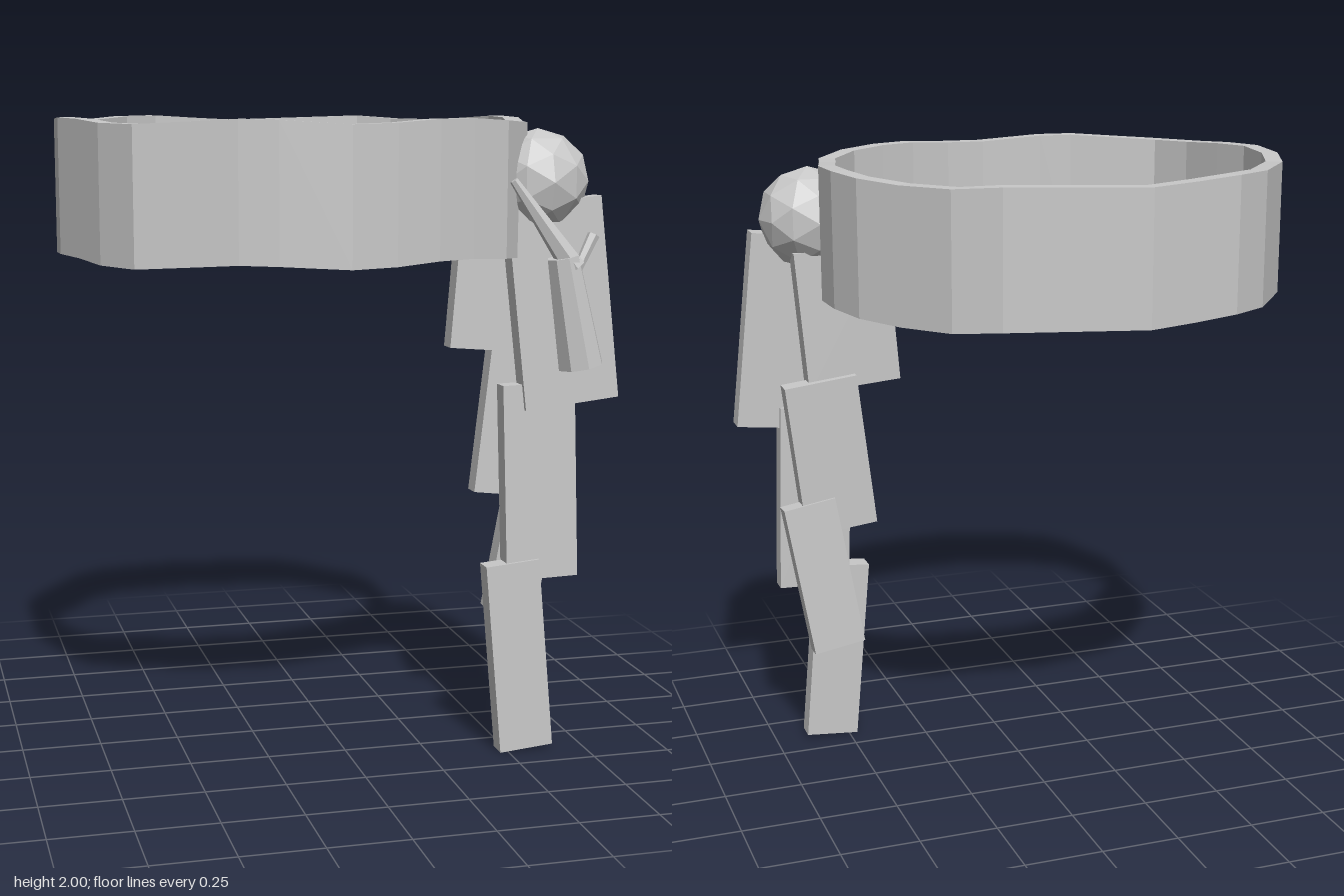
import * as THREE from 'three';

// Outline of the band seen from above: [x, z]
const OUTLINE = [
  [-0.18, -0.63], [0.255, -0.58], [0.38, -0.5], [0.49, -0.355], [0.58, -0.235], [0.62, -0.1],
  [0.62, 0.05], [0.575, 0.22], [0.55, 0.325], [0.443, 0.457], [0.32, 0.515], [0.2, 0.565],
  [0.06, 0.608], [-0.08, 0.628], [-0.29, 0.615], [-0.4, 0.58], [-0.54, 0.52], [-0.68, 0.46],
  [-0.76, 0.33], [-0.805, 0.18], [-0.845, 0.05], [-0.84, -0.1], [-0.78, -0.25], [-0.6, -0.5],
  [-0.475, -0.58], [-0.335, -0.607],
];

// Closed wavy wall: a four-cornered section at each outline point, joined by quads
function bandGeometry(wall, base, height) {
  const n = OUTLINE.length;
  const sections = OUTLINE.map(([x, z], i) => {
    const [ax, az] = OUTLINE[(i + n - 1) % n];
    const [bx, bz] = OUTLINE[(i + 1) % n];
    const length = Math.hypot(bx - ax, bz - az);
    const ix = x - ((bz - az) / length) * wall;
    const iz = z + ((bx - ax) / length) * wall;
    const y = base + 0.008 * Math.cos(6 * Math.atan2(z, x + 0.115) + 0.6);
    // outer bottom, outer top, inner top, inner bottom
    return [[x, y, z], [x, y + height, z], [ix, y + height, iz], [ix, y, iz]];
  });
  const points = [];
  for (let i = 0; i < n; i++) {
    const a = sections[i], b = sections[(i + 1) % n];
    for (let j = 0; j < 4; j++) {
      const k = (j + 1) % 4;
      points.push(...a[j], ...a[k], ...b[k], ...a[j], ...b[k], ...b[j]);
    }
  }
  const geometry = new THREE.BufferGeometry();
  geometry.setAttribute('position', new THREE.Float32BufferAttribute(points, 3));
  geometry.computeVertexNormals();
  return geometry;
}

export function createModel() {
  const model = new THREE.Group();
  model.name = 'figureWithBand';
  const grey = new THREE.MeshStandardMaterial({ color: 0xc8c8c8, flatShading: true, side: THREE.DoubleSide });
  grey.name = 'plainGrey';

  const add = (name, geometry) => {
    const mesh = new THREE.Mesh(geometry, grey);
    mesh.name = name;
    model.add(mesh);
    return mesh;
  };

  add('band', bandGeometry(0.052, 1.582, 0.41));

  // Low-poly head
  add('head', new THREE.IcosahedronGeometry(0.16, 1)).position.set(0.597, 1.806, 0.29);

  // Flat plates: name, size, centre, tilt about x and z
  const plates = [
    ['frontUpperPlate', [0.307, 0.63, 0.065], [0.658, 1.433, 0.35], -0.016, 0.11],
    ['frontMiddlePlate', [0.235, 0.62, 0.06], [0.597, 0.875, 0.348], -0.02, 0.03],
    ['frontLowerPlate', [0.175, 0.612, 0.064], [0.532, 0.317, 0.363], -0.005, 0.09],
    ['backUpperPlate', [0.3, 0.45, 0.065], [0.506, 1.5, 0.213], -0.01, -0.085],
    ['backMiddlePlate', [0.235, 0.5, 0.062], [0.576, 1.054, 0.193], -0.015, -0.118],
    ['backLowerPlate', [0.17, 0.5, 0.062], [0.614, 0.655, 0.174], 0.045, -0.165],
  ];
  for (const [name, size, centre, tiltX, tiltZ] of plates) {
    const plate = add(name, new THREE.BoxGeometry(...size));
    plate.position.set(...centre);
    plate.rotation.set(tiltX, 0, tiltZ);
  }

  // Tapered rods between two points
  const rod = (name, from, to, rFrom, rTo, sides) => {
    const a = new THREE.Vector3(...from), b = new THREE.Vector3(...to);
    const dir = b.clone().sub(a);
    const mesh = add(name, new THREE.CylinderGeometry(rTo, rFrom, dir.length(), sides));
    mesh.position.copy(a).addScaledVector(dir, 0.5);
    mesh.quaternion.setFromUnitVectors(new THREE.Vector3(0, 1, 0), dir.normalize());
  };
  rod('flaredHandle', [0.687, 1.25, 0.46], [0.62, 1.585, 0.467], 0.071, 0.05, 8);
  rod('longProng', [0.65, 1.55, 0.478], [0.462, 1.815, 0.457], 0.038, 0.013, 6);
  rod('shortProng', [0.63, 1.49, 0.49], [0.715, 1.65, 0.47], 0.012, 0.019, 6);

  return model;
}
